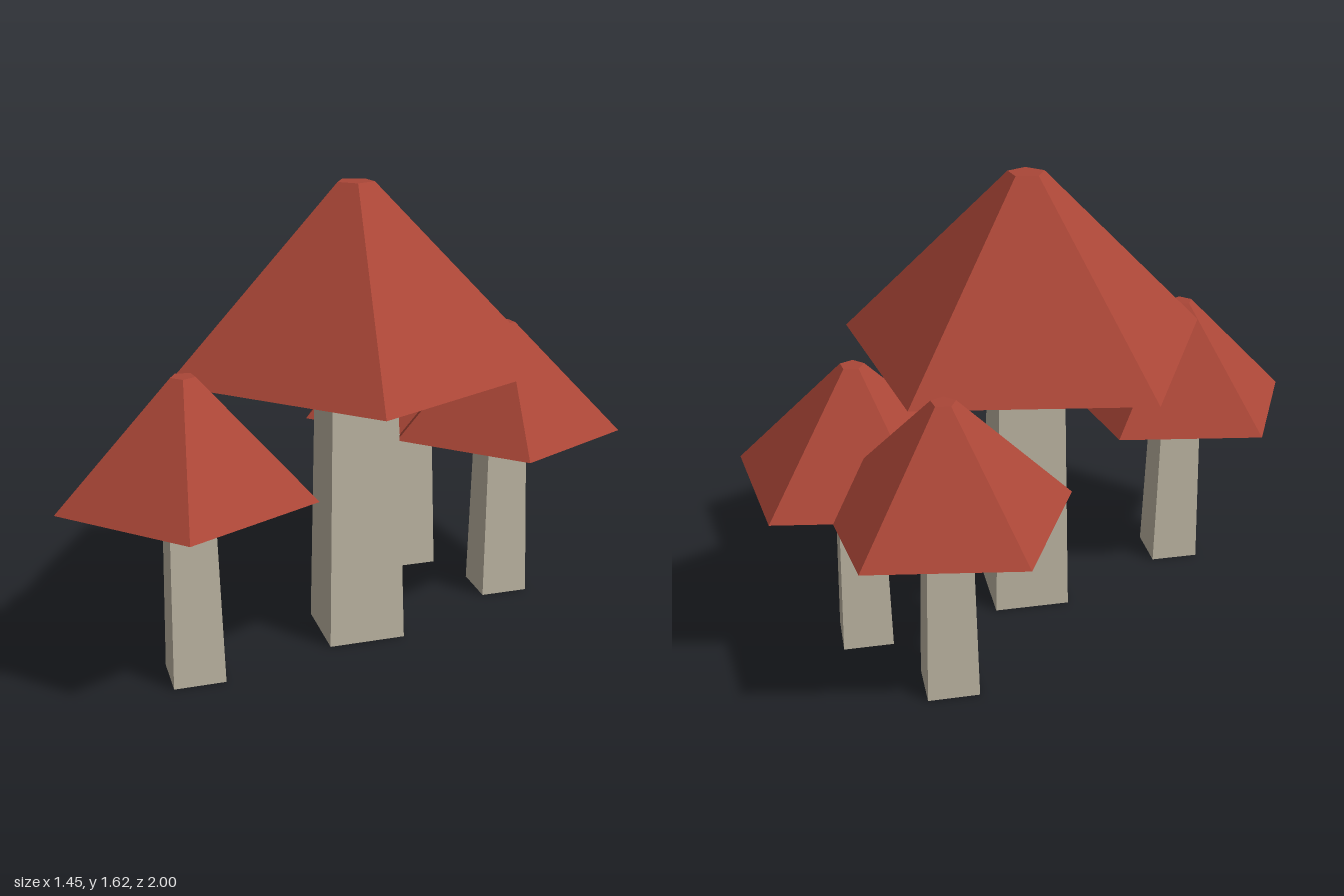
import * as THREE from 'three';

const capRed = new THREE.MeshStandardMaterial({ color: 0xaa4637, flatShading: true, side: THREE.DoubleSide });
capRed.name = 'cap red';
const stemGrey = new THREE.MeshStandardMaterial({ color: 0xc0b8a5, flatShading: true });
stemGrey.name = 'stem grey';

// One mushroom: a tapering four-sided stem under a hollow five-sided cap
function mushroom(name, x, z, { stemHeight, stemBottom, stemTop, capRadius, tipRadius, capHeight }) {
  const group = new THREE.Group();
  group.name = name;

  const stem = new THREE.Mesh(new THREE.CylinderGeometry(stemTop, stemBottom, stemHeight, 4), stemGrey);
  stem.name = 'stem';
  stem.position.y = stemHeight / 2;

  // Open underneath, closed by a small flat tip; one corner points to the back
  const profile = [
    new THREE.Vector2(capRadius, 0),
    new THREE.Vector2(tipRadius, capHeight),
    new THREE.Vector2(0, capHeight),
  ];
  const cap = new THREE.Mesh(new THREE.LatheGeometry(profile, 5, Math.PI), capRed);
  cap.name = 'cap';
  cap.position.y = stemHeight;

  group.add(stem, cap);
  group.position.set(x, 0, z);
  return group;
}

export function createModel() {
  const model = new THREE.Group();
  model.name = 'mushroomCluster';

  const large = { stemHeight: 1.003, stemBottom: 0.193, stemTop: 0.161, capRadius: 0.674, tipRadius: 0.065, capHeight: 0.612 };
  const small = { stemHeight: 0.655, stemBottom: 0.125, stemTop: 0.104, capRadius: 0.437, tipRadius: 0.042, capHeight: 0.396 };

  model.add(
    mushroom('largeMushroom', 0, 0.076, large),
    mushroom('frontMushroom', -0.313, 0.647, small),
    mushroom('backRightMushroom', -0.113, -0.563, small),
    mushroom('backLeftMushroom', 0.31, -0.493, small),
  );
  return model;
}
